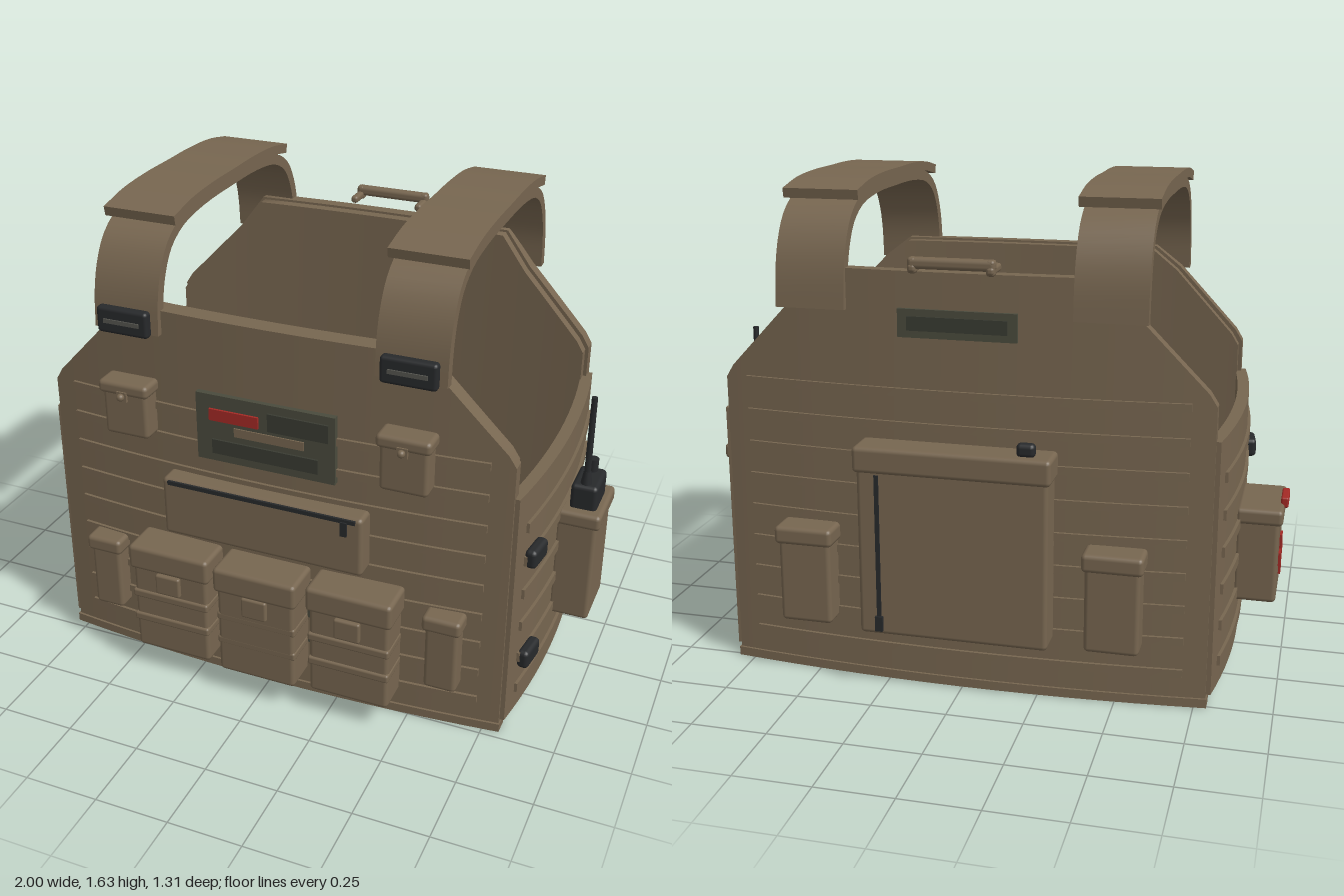
import * as THREE from 'three';
import { toCreasedNormals } from 'three/addons/utils/BufferGeometryUtils.js';
import { RoundedBoxGeometry } from 'three/addons/geometries/RoundedBoxGeometry.js';

const paint = (name, color) => {
  const m = new THREE.MeshStandardMaterial({ color });
  m.name = name;
  return m;
};
const fabric = paint('khaki fabric', 0x776650);
const dark = paint('black plastic', 0x27292b);
const grey = paint('grey buckle slot', 0x55554f);
const olive = paint('olive patch', 0x4a4b3d);
const deepOlive = paint('dark olive patch', 0x393b32);
const red = paint('red marker', 0xa32a25);

function add(parent, name, geo, mat, x = 0, y = 0, z = 0) {
  const m = new THREE.Mesh(geo, mat);
  m.name = name;
  m.position.set(x, y, z);
  parent.add(m);
  return m;
}
const box = (w, h, d) => new THREE.BoxGeometry(w, h, d);
const soft = (w, h, d, r = 0.015) => new RoundedBoxGeometry(w, h, d, 2, Math.min(r, w / 2.1, h / 2.1, d / 2.1));

const HALF = 0.795;
const bulge = (x) => 0.53 - 0.045 * (x / HALF) ** 2;          // outer surface of front and back
const sideBulge = (z) => 0.85 - 0.04 * (z / 0.475) ** 2;      // outer surface of the sides

// Box from y0 to top(x), bent so its outer face follows surface(x) + out
function curvedBox(xs, y0, top, thick, surface, out = 0) {
  const n = xs.length - 1;
  const g = new THREE.BoxGeometry(n, 1, 1, n, 1, 1);
  const p = g.attributes.position;
  for (let i = 0; i < p.count; i++) {
    const x = xs[Math.round(p.getX(i) + n / 2)];
    const y = p.getY(i) > 0 ? top(x) : y0;
    p.setXYZ(i, x, y, surface(x) + out - (p.getZ(i) > 0 ? 0 : thick));
  }
  g.computeVertexNormals();
  return g;
}
const steps = (half, n) => Array.from({ length: n + 1 }, (_, i) => half * (2 * i / n - 1));
const bar = (half, y, h, thick, surface, out) =>
  curvedBox(steps(half, 14), y - h / 2, () => y + h / 2, thick, surface, out);

// Pouch with its back at z = 0 and its bottom at y = 0
function pouch(parent, name, w, h, d, lidH, x, y, z) {
  const g = new THREE.Group();
  g.name = name;
  g.position.set(x, y, z);
  parent.add(g);
  add(g, 'pouchBody', soft(w - 0.02, h - 0.01, d - 0.012), fabric, 0, (h - 0.01) / 2, (d - 0.012) / 2);
  if (lidH) add(g, 'pouchLid', soft(w, lidH, d), fabric, 0, h - lidH / 2, d / 2);
  return g;
}

// Front or back panel with sloped shoulders, inner pad, webbing and hem
function torsoPanel(parent, name, height) {
  const g = new THREE.Group();
  g.name = name;
  parent.add(g);
  const right = [0, 0.12, 0.24, 0.36, 0.47, 0.515, 0.56, 0.62, 0.68, 0.735, 0.77, HALF];
  const xs = [...right.slice(1).reverse().map((x) => -x), ...right];
  const top = (x) => {
    const a = Math.abs(x);
    if (a <= 0.47) return height;
    if (a <= 0.56) return height + (1.25 - height) * (a - 0.47) / 0.09;
    if (a <= 0.77) return 1.25 - 0.22 * (a - 0.56) / 0.21;
    return 1.03 - 0.04 * (a - 0.77) / 0.025;
  };
  add(g, 'panelCover', curvedBox(xs, 0, top, 0.045, bulge), fabric);
  add(g, 'innerPad', curvedBox(xs.map((x) => x * 0.985), 0.008, (x) => top(x / 0.985) - 0.008, 0.04, bulge, -0.042), fabric);
  for (let i = 0; i < 9; i++) add(g, 'webbing', bar(0.72, 0.115 + 0.109 * i, 0.026, 0.02, bulge, 0.01), fabric);
  add(g, 'hem', bar(HALF + 0.004, 0.016, 0.03, 0.055, bulge, 0.008), fabric);
  return g;
}

// Side panel with webbing and two buckles; built facing +z, then turned to face +x or -x
function sidePanel(parent, name, s) {
  const g = new THREE.Group();
  g.name = name;
  g.rotation.y = s * Math.PI / 2;
  parent.add(g);
  add(g, 'sideCover', curvedBox(steps(0.475, 14), 0.04, () => 0.88, 0.04, sideBulge), fabric);
  for (let i = 0; i < 6; i++) add(g, 'sideWebbing', bar(0.41, 0.13 + 0.1235 * i, 0.034, 0.02, sideBulge, 0.01), fabric);
  for (const y of [0.243, 0.63]) {
    const b = add(g, 'sideBuckle', soft(0.11, 0.065, 0.04), dark, -s * 0.355, y, 0.845);
    b.rotation.y = -s * 0.13;
  }
  return g;
}

// Ribbon following (z, y) points, extruded along x
function ribbon(points, thick, width) {
  const pts = new THREE.CatmullRomCurve3(points.map(([z, y]) => new THREE.Vector3(z, y, 0))).getPoints(36);
  const edge = (side) => pts.map((p, i) => {
    const t = pts[Math.min(i + 1, 36)].clone().sub(pts[Math.max(i - 1, 0)]).normalize();
    return new THREE.Vector2(p.x - t.y * side * thick / 2, p.y + t.x * side * thick / 2);
  });
  const shape = new THREE.Shape([...edge(1), ...edge(-1).reverse()]);
  const g = new THREE.ExtrudeGeometry(shape, { depth: width, bevelEnabled: false });
  g.rotateY(-Math.PI / 2).translate(width / 2, 0, 0);
  return toCreasedNormals(g, 0.5);
}
const mirrored = (half) => [...half, ...half.slice(0, -1).reverse().map(([z, y]) => [-z, y])];

export function createModel() {
  const model = new THREE.Group();
  model.name = 'plateCarrierVest';
  const vest = new THREE.Group();
  vest.name = 'vest';
  vest.position.set(0.008, 0, -0.02);
  model.add(vest);

  const front = torsoPanel(vest, 'frontPanel', 1.32);
  const back = torsoPanel(vest, 'backPanel', 1.37);
  back.rotation.y = Math.PI;
  const left = sidePanel(vest, 'leftSide', 1);
  const right = sidePanel(vest, 'rightSide', -1);

  // Shoulder straps with pads and front buckles
  const strapPath = mirrored([[0.525, 1.24], [0.515, 1.35], [0.49, 1.435], [0.44, 1.51], [0.35, 1.56], [0.2, 1.583], [0, 1.587]]);
  const padPath = mirrored([[0.42, 1.583], [0.3, 1.605], [0.15, 1.614], [0, 1.614]]);
  for (const s of [-1, 1]) {
    add(vest, 'shoulderStrap', ribbon(strapPath, 0.036, 0.226), fabric, s * 0.475);
    add(vest, 'shoulderPad', ribbon(padPath, 0.032, 0.25), fabric, s * 0.475);
    add(vest, 'strapBuckle', soft(0.18, 0.088, 0.035, 0.012), dark, s * 0.475, 1.28, 0.555);
    add(vest, 'buckleSlot', box(0.125, 0.014, 0.008), grey, s * 0.475, 1.28, 0.573);
  }

  // Chest and belt pouches
  for (const s of [-1, 1]) {
    const chest = pouch(front, 'chestPouch', 0.178, 0.195, 0.09, 0.045, s * 0.475, 0.885, 0.51);
    add(chest, 'pouchTab', box(0.035, 0.035, 0.01), fabric, 0, 0.15, 0.09);
    add(chest, 'pouchSnap', soft(0.025, 0.025, 0.025), fabric, 0, 0.152, 0.1);
    pouch(front, 'narrowPouch', 0.13, 0.28, 0.085, 0.055, s * 0.61, 0.17, 0.495);
  }
  for (const i of [-1, 0, 1]) {
    const mag = pouch(front, 'magazinePouch', 0.295, 0.41, i ? 0.14 : 0.147, 0.09, i * 0.322, 0.093, i ? 0.508 : 0.518);
    add(mag, 'pouchTab', soft(0.09, 0.075, 0.02, 0.008), fabric, 0, 0.285, 0.138);
    for (const y of [0.125, 0.22]) add(mag, 'pouchBand', soft(0.281, 0.03, 0.125, 0.008), fabric, 0, y, 0.073);
  }
  for (const x of [-0.162, 0.162]) for (const y of [0.23, 0.33, 0.43])
    add(front, 'webbingTab', box(0.04, 0.035, 0.02), olive, x, y, 0.535);

  // Flat zipped pouch
  const admin = pouch(front, 'zippedPouch', 0.72, 0.22, 0.094, 0, 0, 0.555, 0.515);
  add(admin, 'zipper', box(0.655, 0.014, 0.008), dark, 0, 0.197, 0.083);
  add(admin, 'zipperPull', box(0.022, 0.05, 0.012), dark, 0.29, 0.17, 0.086);
  for (const x of [-0.285, 0.285]) add(front, 'webbingTab', box(0.05, 0.03, 0.02), olive, x, 0.545, 0.533);

  // Chest patch panel
  add(front, 'patchPanel', box(0.476, 0.235, 0.025), olive, 0, 0.958, 0.534);
  add(front, 'redPatch', box(0.17, 0.04, 0.009), red, -0.105, 1.008, 0.55);
  add(front, 'upperPatch', box(0.205, 0.062, 0.009), deepOlive, 0.115, 1.017, 0.549);
  add(front, 'middlePatch', box(0.24, 0.03, 0.006), fabric, 0.015, 0.957, 0.548);
  add(front, 'lowerPatch', box(0.365, 0.05, 0.009), deepOlive, 0, 0.895, 0.549);

  // Back pack with zipper and top toggle; the back group is built facing +z
  const pack = pouch(back, 'backPack', 0.636, 0.63, 0.125, 0.085, 0, 0.2, 0.515);
  add(pack, 'packZipper', box(0.014, 0.5, 0.008), dark, -0.24, 0.29, 0.114);
  add(pack, 'zipperPull', box(0.025, 0.05, 0.012), dark, -0.24, 0.04, 0.118);
  add(pack, 'toggle', soft(0.06, 0.045, 0.036), dark, 0.233, 0.648, 0.08);
  for (const s of [-1, 1]) pouch(back, 'backPouch', 0.195, 0.33, 0.11, 0.06, s * 0.505, 0.2, 0.5);
  add(back, 'backPatch', box(0.38, 0.09, 0.015), olive, 0, 1.21, 0.532);
  add(back, 'backPatchInset', box(0.32, 0.045, 0.008), deepOlive, 0, 1.21, 0.539);

  // Drag handle
  for (const s of [-1, 1]) {
    add(back, 'handleArm', soft(0.026, 0.026, 0.1, 0.01), fabric, s * 0.122, 1.392, 0.555);
    add(back, 'handlePost', soft(0.028, 0.05, 0.034, 0.01), fabric, s * 0.122, 1.4, 0.585);
  }
  add(back, 'handleGrip', soft(0.275, 0.036, 0.036, 0.014), fabric, 0, 1.407, 0.585);

  // Radio in its pouch on the left
  const radio = pouch(left, 'radioPouch', 0.235, 0.415, 0.15, 0.055, 0.02, 0.225, 0.84);
  add(radio, 'radioBody', soft(0.15, 0.12, 0.09), dark, -0.005, 0.44, 0.08);
  add(radio, 'antennaBase', new THREE.CylinderGeometry(0.012, 0.02, 0.05, 12), dark, -0.05, 0.52, 0.08);
  add(radio, 'antenna', new THREE.CylinderGeometry(0.01, 0.011, 0.31, 12), dark, -0.05, 0.66, 0.08);
  add(radio, 'radioKnob', new THREE.CylinderGeometry(0.018, 0.018, 0.05, 12), dark, 0.042, 0.52, 0.08);

  // First-aid pouch on the right, with tag and cross
  const aid = pouch(right, 'firstAidPouch', 0.285, 0.33, 0.155, 0.055, 0, 0.225, 0.84);
  add(aid, 'redTag', soft(0.11, 0.036, 0.025, 0.006), red, 0, 0.332, 0.154);
  add(aid, 'crossBar', box(0.14, 0.045, 0.009), red, 0, 0.135, 0.146);
  add(aid, 'crossPost', box(0.045, 0.14, 0.0096), red, 0, 0.135, 0.146);

  return model;
}
